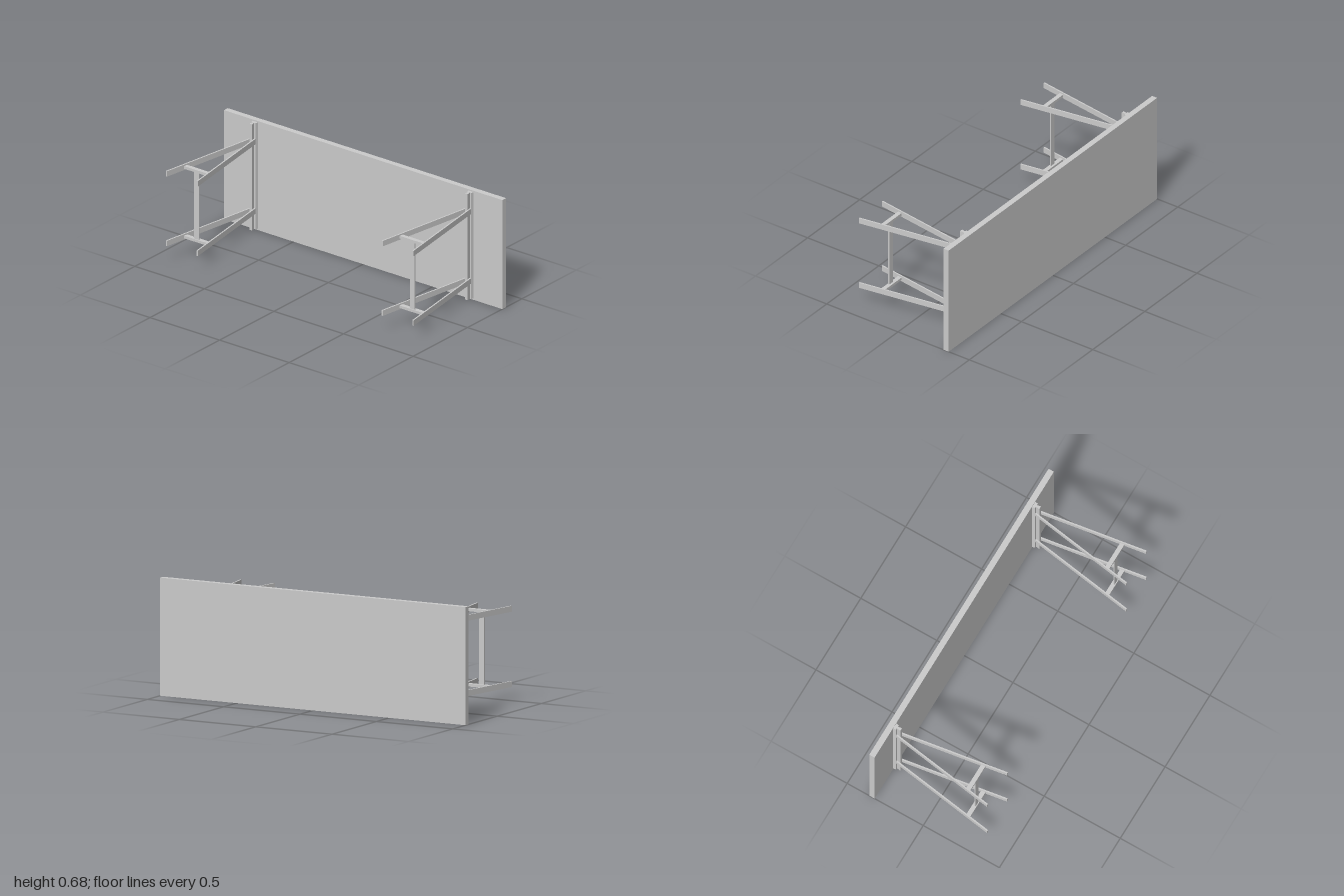
import * as THREE from 'three';

const grey = new THREE.MeshStandardMaterial({ color: 0xcccccc, flatShading: true });

function box(name, w, h, d, x, y, z) {
  const m = new THREE.Mesh(new THREE.BoxGeometry(w, h, d), grey);
  m.name = name;
  m.position.set(x, y, z);
  return m;
}

// Prism with an outline of [x, z] points, running from y0 to y1
function prism(name, points, y0, y1) {
  const shape = new THREE.Shape(points.map(([x, z]) => new THREE.Vector2(x, -z)));
  const geo = new THREE.ExtrudeGeometry(shape, { depth: y1 - y0, bevelEnabled: false });
  geo.rotateX(-Math.PI / 2);
  geo.translate(0, y0, 0);
  const m = new THREE.Mesh(geo, grey);
  m.name = name;
  return m;
}

function createTrestle() {
  const g = new THREE.Group();
  g.name = 'trestle';

  // Top rail: flange against the tabletop and a wedge between the legs
  g.add(prism('railFlange', [[-0.019, -0.32], [0.019, -0.32], [0.015, -0.302], [-0.015, -0.302]], 0.01, 0.67));
  g.add(prism('railWedge', [[-0.006, -0.302], [0.006, -0.302], [0.0095, -0.278], [-0.0095, -0.278]], 0.01, 0.67));

  for (const y of [0.1235, 0.556]) {
    // Splayed pair of legs
    for (const s of [-1, 1]) {
      g.add(prism('leg', [[s * 0.006, -0.302], [s * 0.015, -0.302], [s * 0.115, 0.355], [s * 0.106, 0.355]],
        y - 0.0168, y + 0.0168));
    }
    // Crossbar joining the two legs
    g.add(prism('crossbar', [[-0.085, 0.2], [0.085, 0.2], [0.089, 0.226], [-0.089, 0.226]], y - 0.008, y + 0.008));
  }

  // Flat stretcher between the crossbars
  g.add(box('stretcher', 0.034, 0.4325, 0.008, 0, 0.34, 0.217));
  return g;
}

export function createModel() {
  const model = new THREE.Group();
  model.name = 'trestleTable';

  // Tabletop standing on its long edge
  model.add(box('tabletop', 2, 0.678, 0.035, 0, 0.339, -0.3375));

  for (const x of [-0.775, 0.775]) {
    const trestle = createTrestle();
    trestle.position.x = x;
    model.add(trestle);
  }
  return model;
}
